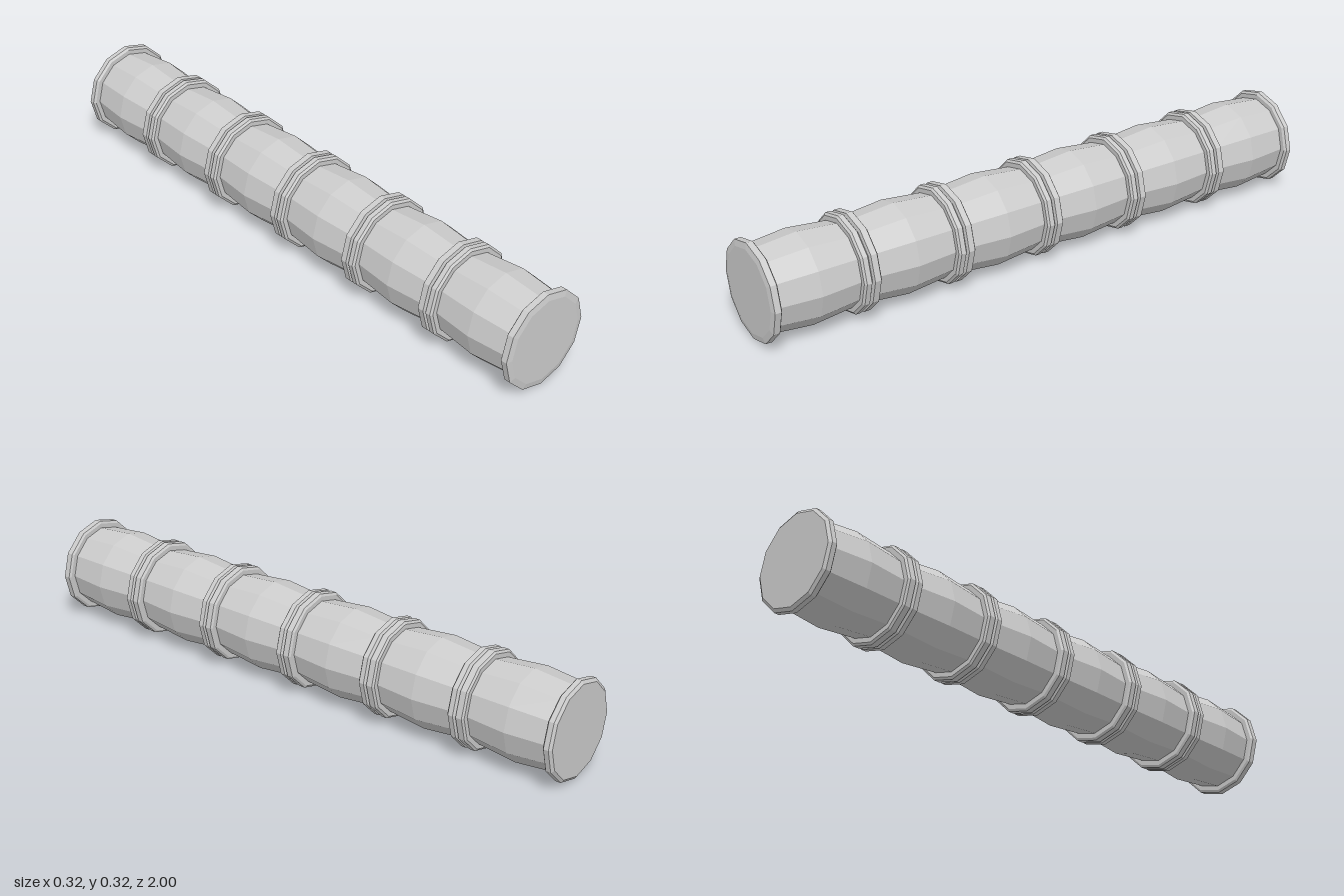
import * as THREE from 'three';

const SEGMENTS = 6;
const LENGTH = 2 / SEGMENTS;
const RIM = 0.1625;

// Barrel section with a chamfered collar at each end, running along z from 0 to LENGTH
function sectionGeometry() {
  const profile = [
    [0, 0], [0.152, 0], [RIM, 0.007], [RIM, 0.024], [0.155, 0.03], [0.139, 0.03],
    [0.152, LENGTH / 2],
    [0.139, LENGTH - 0.03], [0.155, LENGTH - 0.03], [RIM, LENGTH - 0.025],
    [RIM, LENGTH - 0.004], [0.142, LENGTH], [0, LENGTH],
  ].map(([r, h]) => new THREE.Vector2(r, h));
  return new THREE.LatheGeometry(profile, 12).rotateX(Math.PI / 2);
}

export function createModel() {
  const model = new THREE.Group();
  model.name = 'segmentedColumn';
  const material = new THREE.MeshStandardMaterial({ color: 0xcccccc, flatShading: true });
  const geometry = sectionGeometry();

  // Identical sections laid end to end
  for (let i = 0; i < SEGMENTS; i++) {
    const section = new THREE.Mesh(geometry, material);
    section.name = `barrelSection${i + 1}`;
    section.position.set(0, RIM, -1 + i * LENGTH);
    model.add(section);
  }
  return model;
}
